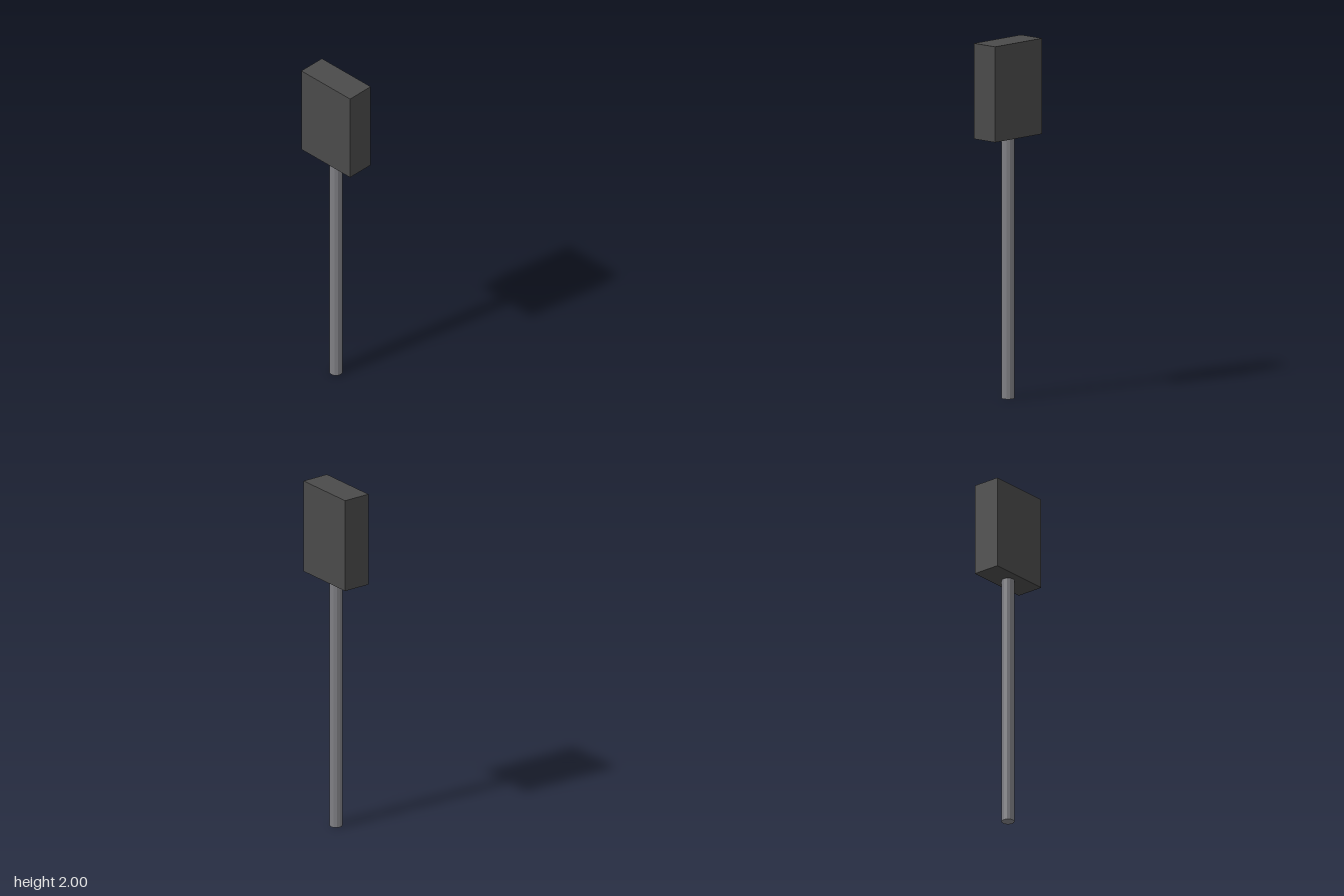
import * as THREE from 'three';

export function createModel() {
  const model = new THREE.Group();
  model.name = 'signPost';

  const poleGrey = new THREE.MeshStandardMaterial({ color: 0x808085, flatShading: true });
  poleGrey.name = 'poleGrey';
  const darkGrey = new THREE.MeshStandardMaterial({ color: 0x4a4a4a, flatShading: true });
  darkGrey.name = 'darkGrey';

  const boxBottom = 1.465;
  const boxHeight = 2 - boxBottom;

  // Faceted upright pole
  const pole = new THREE.Mesh(new THREE.CylinderGeometry(0.036, 0.036, boxBottom, 12), poleGrey);
  pole.name = 'pole';
  pole.position.y = boxBottom / 2;

  // Box head on top of the pole
  const head = new THREE.Mesh(new THREE.BoxGeometry(0.376, boxHeight, 0.162), darkGrey);
  head.name = 'boxHead';
  head.position.y = boxBottom + boxHeight / 2;

  model.add(pole, head);
  return model;
}
